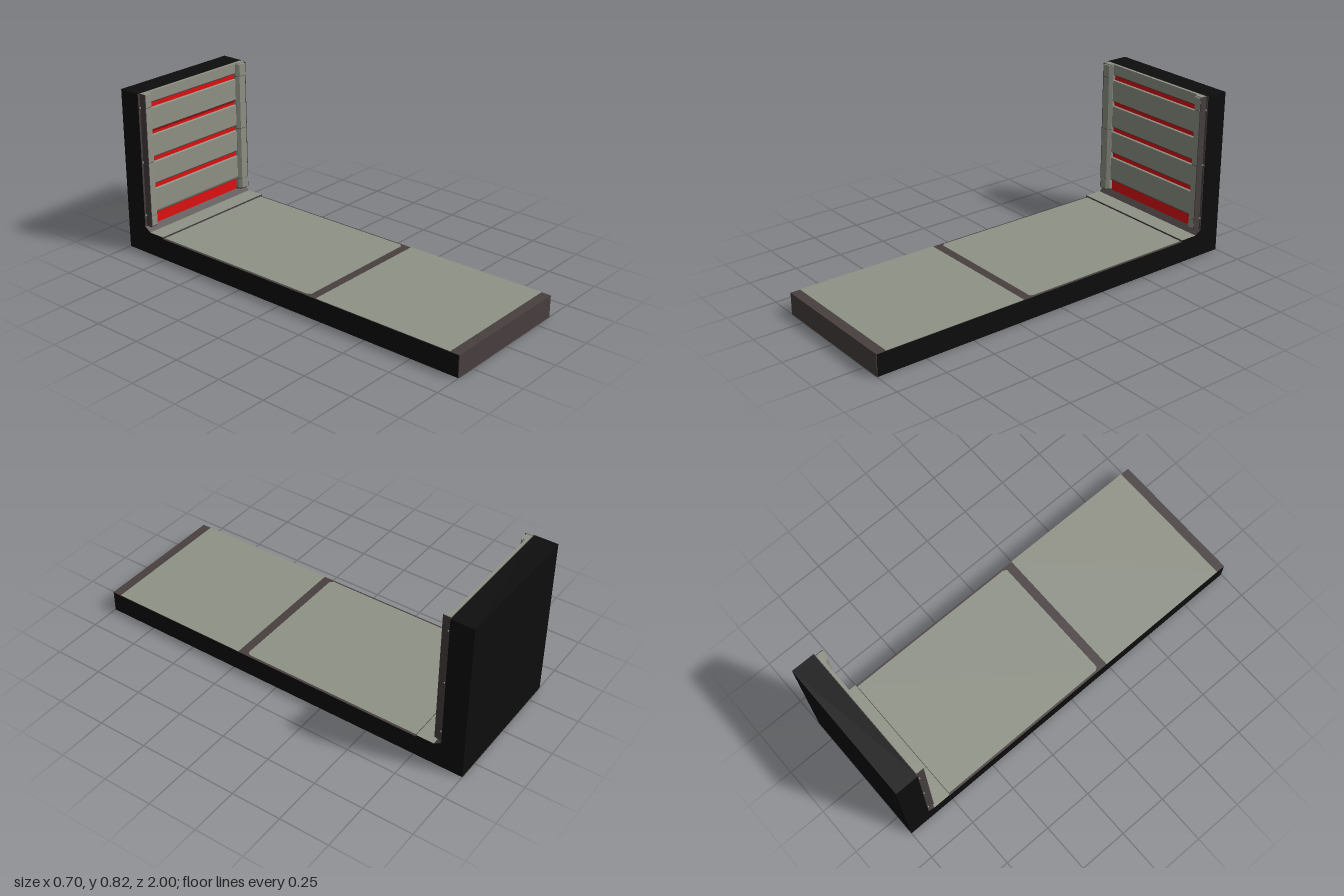
import * as THREE from 'three';

const mat = (name, color) => {
  const m = new THREE.MeshStandardMaterial({ color });
  m.name = name;
  return m;
};

export function createModel() {
  const black = mat('black shell', 0x0d0d0d);
  const brown = mat('dark brown trim', 0x483f3f);
  const grey = mat('grey panel', 0x8f9286);
  const red = mat('red backing', 0xe01010);
  const model = new THREE.Group();
  model.name = 'floorAndWall';

  const add = (name, geometry, material) => {
    const mesh = new THREE.Mesh(geometry, material);
    mesh.name = name;
    model.add(mesh);
    return mesh;
  };
  // box given by its limits on each axis
  const box = (name, material, x0, x1, y0, y1, z0, z1) => {
    const g = new THREE.BoxGeometry(x1 - x0, y1 - y0, z1 - z0);
    g.translate((x0 + x1) / 2, (y0 + y1) / 2, (z0 + z1) / 2);
    return add(name, g, material);
  };
  const shapeOf = (pts) => new THREE.Shape(pts.map(([a, b]) => new THREE.Vector2(a, b)));
  const flat = (depth) => ({ depth, bevelEnabled: false });
  // [z, y] profile swept across the width
  const across = (name, material, pts, width) => {
    const g = new THREE.ExtrudeGeometry(shapeOf(pts), flat(width));
    g.translate(0, 0, -width / 2).rotateY(-Math.PI / 2);
    return add(name, g, material);
  };
  // [x, -z] outline swept upwards
  const upwards = (name, material, pts, y0, y1) => {
    const g = new THREE.ExtrudeGeometry(shapeOf(pts), flat(y1 - y0));
    g.rotateX(-Math.PI / 2).translate(0, y0, 0);
    return add(name, g, material);
  };

  const W = 0.352, TOP = 0.825;

  // L-shaped shell with a low step and a coved corner
  across('shell', black, [
    [-1, 0], [0.997, 0], [0.997, 0.107], [-0.76, 0.107], [-0.76, 0.116],
    [-0.85, 0.116], [-0.885, 0.138], [-0.885, TOP], [-1, TOP],
  ], W * 2);

  // floor
  box('frontRiser', brown, -W, W, 0, 0.109, 0.997, 1);
  box('floorTrim', brown, -W, W, 0.107, 0.109, -0.76, 0.997);
  box('frontFloorPanel', grey, -W, W, 0.109, 0.111, 0.22, 0.952);
  upwards('rearFloorPanel', grey, [
    [-0.342, 0.76], [0.342, 0.76], [0.342, -0.16], [0.33, -0.175],
    [-0.33, -0.175], [-0.342, -0.16],
  ], 0.109, 0.111);
  box('stepRiser', brown, -W, W, 0.109, 0.118, -0.76, -0.757);
  box('stepPanel', grey, -W, W, 0.116, 0.118, -0.85, -0.76);
  across('cove', brown, [
    [-0.85, 0.116], [-0.85, 0.118], [-0.882, 0.14], [-0.885, 0.138],
  ], W * 2);

  // wall backing
  box('wallTrim', brown, -W, W, 0.139, TOP, -0.885, -0.882);
  box('redBacking', red, -0.292, 0.292, 0.14, 0.78, -0.882, -0.88);
  across('redLip', red, [[-0.88, 0.617], [-0.87, 0.632], [-0.88, 0.632]], 0.584);

  // horizontal slats, chamfered above and below
  const slats = [[0.202, 0.325], [0.353, 0.465], [0.492, 0.605], [0.63, 0.742], [0.77, TOP]];
  slats.forEach(([y0, y1], i) => {
    const c = i === 0 ? 0.01 : 0.004;
    const t = i === 4 ? 0 : 0.002;
    across('slat', grey, [
      [-0.882, y0], [-0.872, y0], [-0.868, y0 + c], [-0.868, y1 - t], [-0.872, y1], [-0.882, y1],
    ], 0.584);
    box('slatShadowGap', brown, -0.291, 0.291, y0 - 0.003, y0, -0.882, -0.872);
  });

  // side posts with chamfered inner edge, end caps, joints and bolts
  for (const s of [-1, 1]) {
    const post = (name, material, y0, y1, grow) => upwards(name, material, [
      [0.29, 0.882], [0.291, 0.866 - grow], [0.303, 0.849 - grow],
      [0.34, 0.846 - grow], [0.34, 0.882],
    ].map(([x, z]) => [s * x, z]), y0, y1);
    post('sidePost', grey, 0.148, TOP - 0.005, 0);
    post('postFoot', brown, 0.141, 0.148, -0.005);
    post('topCap', grey, 0.76, TOP - 0.006, 0.002);
    post('bottomCap', grey, 0.15, 0.2, 0.002);
    post('postTop', grey, TOP - 0.005, TOP, -0.006);
    const [x0, x1] = s > 0 ? [0.34, 0.343] : [-0.343, -0.34];
    box('postSide', brown, x0, x1, 0.148, TOP, -0.882, -0.845);
    for (const y of [0.2, 0.478, 0.757]) {
      post('postJoint', brown, y - 0.001, y + 0.001, 0.0005);
      const bolt = new THREE.CylinderGeometry(0.004, 0.004, 0.008, 8);
      bolt.rotateX(Math.PI / 2).translate(s * 0.347, y, -0.879);
      add('bolt', bolt, grey);
    }
  }

  return model;
}
